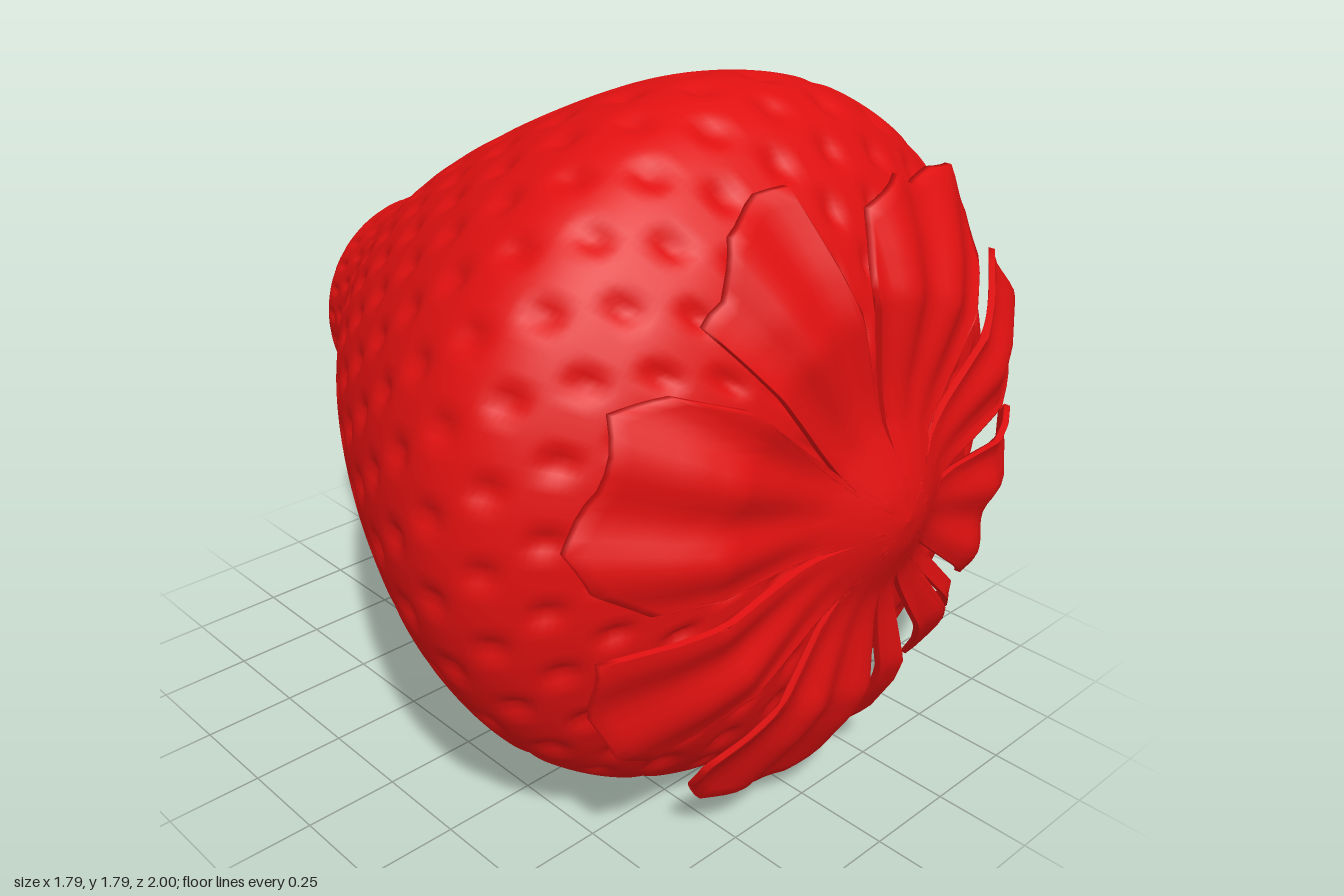
import * as THREE from 'three';

const CENTRE_Y = 0.893;

// Surface from closed rings; ring i is a list of [x, y, z] points
function ringSurface(rings) {
  const n = rings[0].length, index = [];
  for (let i = 0; i < rings.length - 1; i++) {
    for (let j = 0; j < n; j++) {
      const k = (j + 1) % n;
      const a = i * n + j, b = i * n + k, c = a + n, d = b + n;
      index.push(a, b, c, b, d, c);
    }
  }
  const geo = new THREE.BufferGeometry();
  geo.setAttribute('position', new THREE.Float32BufferAttribute(rings.flat(2), 3));
  geo.setIndex(index);
  geo.computeVertexNormals();
  return geo;
}

// Fruit: [radius, z] profile from the tip to the crown, with staggered seed pits
function fruitGeometry() {
  const profile = new THREE.SplineCurve([
    [0.005, -1], [0.13, -0.982], [0.24, -0.93], [0.3, -0.865], [0.34, -0.78], [0.385, -0.69],
    [0.44, -0.6], [0.58, -0.4], [0.695, -0.2], [0.79, 0], [0.865, 0.2], [0.895, 0.37],
    [0.88, 0.48], [0.835, 0.57], [0.76, 0.65], [0.66, 0.73], [0.5, 0.81], [0.3, 0.86], [0.005, 0.88],
  ].map(([r, z]) => new THREE.Vector2(r, z)));
  const rows = 170, cols = 224, pitsAround = 28, pitRows = 21;
  const rings = [];
  for (let i = 0; i <= rows; i++) {
    const u = i / rows;
    const p = profile.getPointAt(u), t = profile.getTangentAt(u);
    const lift = 0.035 * THREE.MathUtils.smoothstep(-p.y, 0, 0.9);
    const strength = 0.02 * THREE.MathUtils.smoothstep(p.x, 0.05, 0.6);
    const ring = [];
    for (let j = 0; j < cols; j++) {
      const a = (j / cols) * Math.PI * 2;
      const wave = Math.cos(pitsAround * a) * Math.cos(Math.PI * pitRows * u);
      const pit = strength * Math.max(0, wave) ** 2;
      const r = Math.max(0, p.x - t.y * pit);
      ring.push([r * Math.cos(a), r * Math.sin(a) + lift, p.y + t.x * pit]);
    }
    rings.push(ring);
  }
  return ringSurface(rings);
}

// Leaf outlines in hundredths, counter-clockwise; each starts at the notch before it
const LEAVES = [
  [[10, 9], [43, 48], [45, 57], [40, 69], [31, 70], [22, 68], [15, 72], [3, 67], [-3, 52]],
  [[0, 13], [-18, 75], [-25, 74], [-36, 68], [-40, 56], [-46, 52]],
  [[-11, 7], [-42, 36], [-55, 40], [-67, 38], [-71, 23], [-79, 11], [-74, 1], [-63, -6]],
  [[-14, -3], [-73, -16], [-71, -33], [-65, -45], [-56, -50]],
  [[-9, -14], [-42, -57], [-41, -65], [-35, -74], [-23, -75], [-14, -80], [-6, -80], [1, -74], [4, -62]],
  [[0, -18], [17, -74], [23, -72]],
  [[5, -17], [40, -65], [48, -60]],
  [[9, -14], [53, -58], [59, -57]],
  [[13, -12], [49, -40], [60, -44], [69, -43], [72, -31], [78, -18], [77, -7], [70, 0]],
  [[15, -1], [72, 16], [71, 29], [65, 37], [58, 45]],
];

// Calyx height by distance from the centre: raised hub, flat ring, drooping ends
const HEIGHTS = [[0, 1], [0.08, 0.985], [0.15, 0.955], [0.22, 0.925], [0.3, 0.912], [0.5, 0.905], [0.6, 0.86], [0.82, 0.725]];
function calyxHeight(x, y) {
  const r = Math.hypot(x, y);
  let k = 1;
  while (k < HEIGHTS.length - 1 && r > HEIGHTS[k][0]) k++;
  const [r0, z0] = HEIGHTS[k - 1], [r1, z1] = HEIGHTS[k];
  const ripple = 0.014 * Math.sin(Math.atan2(y, x) * 19) * THREE.MathUtils.smoothstep(r, 0.15, 0.6);
  return z0 + (z1 - z0) * (r - r0) / (r1 - r0) + ripple;
}

// Calyx: thin joined leaves, back layer first, then front layer
function calyxGeometry() {
  const corners = LEAVES.flat().map(([x, y]) => new THREE.Vector2(x / 100, y / 100));
  const outline = [];
  corners.forEach((p, i) => {
    const q = corners[(i + 1) % corners.length];
    const steps = Math.ceil(p.distanceTo(q) / 0.04);
    for (let s = 0; s < steps; s++) outline.push(p.clone().lerp(q, s / steps));
  });
  const rows = 24;
  const layer = (v, drop) => outline.map((p) => {
    const x = p.x * v, y = p.y * v;
    return [x, y, calyxHeight(x, y) - drop];
  });
  const rings = [];
  for (let i = 0; i <= rows; i++) rings.push(layer(i / rows, 0.018));
  for (let i = rows; i >= 0; i--) rings.push(layer(i / rows, 0));
  return ringSurface(rings);
}

export function createModel() {
  const group = new THREE.Group();
  group.name = 'strawberry';
  const red = new THREE.MeshStandardMaterial({ color: 0xe01010 });
  const leafRed = new THREE.MeshStandardMaterial({ color: 0xe01010, side: THREE.DoubleSide });

  const fruit = new THREE.Mesh(fruitGeometry(), red);
  fruit.name = 'fruit';
  const calyx = new THREE.Mesh(calyxGeometry(), leafRed);
  calyx.name = 'calyxLeaves';
  for (const part of [fruit, calyx]) {
    part.position.y = CENTRE_Y;
    group.add(part);
  }
  return group;
}
